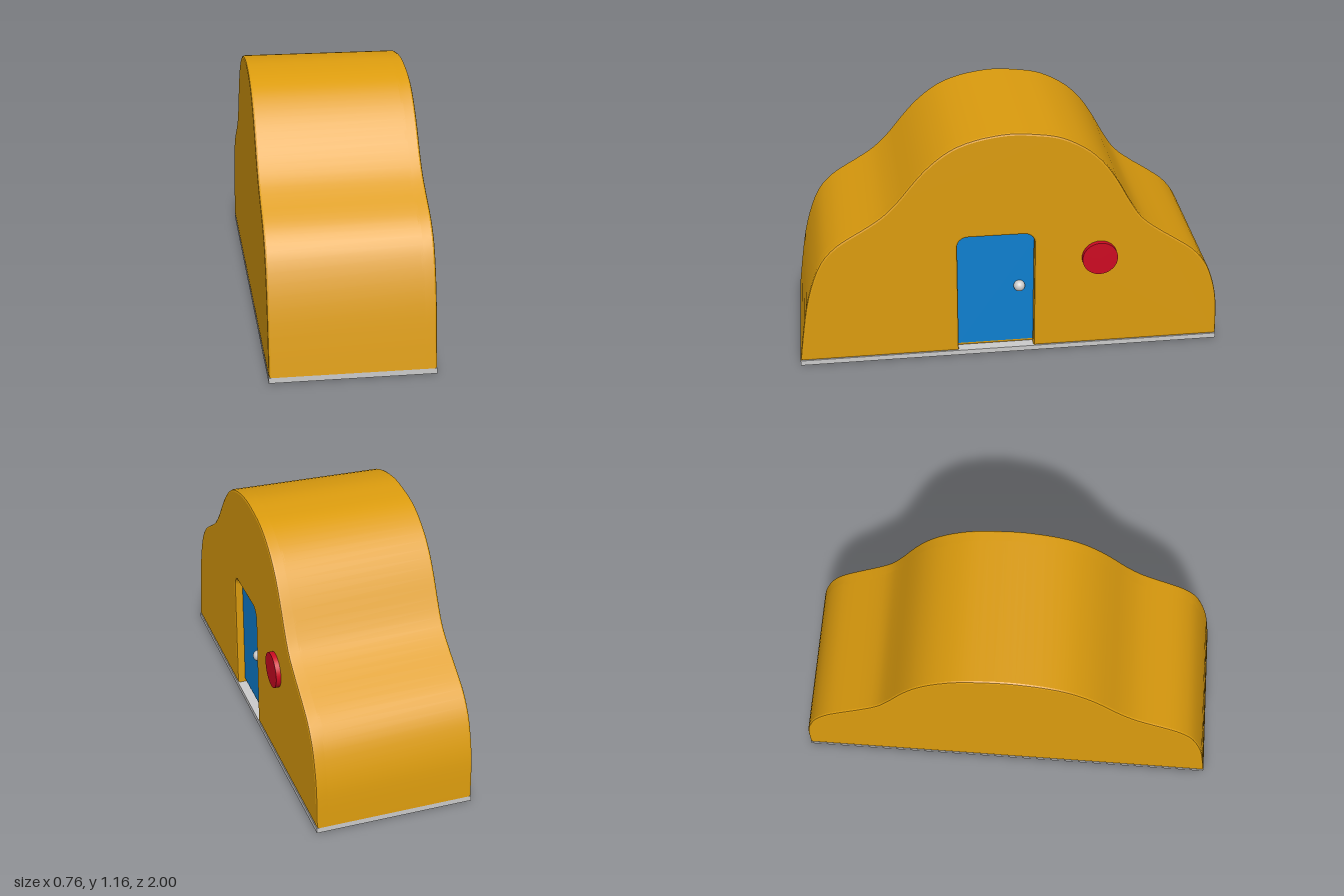
import * as THREE from 'three';
import { toCreasedNormals } from 'three/addons/utils/BufferGeometryUtils.js';

const BACK = -0.38, FRONT = 0.355, RECESS = 0.317, FLOOR = 0.025;
const DOOR = { left: -0.25, right: 0.11, top: 0.64, radius: 0.05 };

// Silhouette as [-z, y], from the front foot over the top to the back foot
const PROFILE = [
  [-1, FLOOR], [-0.98, 0.17], [-0.955, 0.32], [-0.92, 0.45], [-0.875, 0.555], [-0.815, 0.625],
  [-0.75, 0.672], [-0.67, 0.72], [-0.59, 0.775], [-0.52, 0.845], [-0.46, 0.92], [-0.4, 0.99],
  [-0.335, 1.05], [-0.26, 1.1], [-0.165, 1.135], [-0.06, 1.154], [0.02, 1.158], [0.11, 1.15],
  [0.2, 1.135], [0.28, 1.103], [0.36, 1.052], [0.43, 0.982], [0.49, 0.893], [0.55, 0.785],
  [0.608, 0.698], [0.69, 0.63], [0.79, 0.562], [0.87, 0.5], [0.93, 0.42], [0.965, 0.33],
  [0.986, 0.24], [0.995, 0.15], [1, FLOOR],
].map(([s, y]) => new THREE.Vector2(s, y));

// Rounded-top opening, traced from its right foot to its left foot
function traceDoor(path, bottom) {
  const { left, right, top, radius: r } = DOOR;
  path.lineTo(right, bottom);
  path.lineTo(right, top - r);
  path.absarc(right - r, top - r, r, 0, Math.PI / 2, false);
  path.lineTo(left + r, top);
  path.absarc(left + r, top - r, r, Math.PI / 2, Math.PI, false);
  path.lineTo(left, bottom);
}

function houseShape(withDoorway) {
  const shape = new THREE.Shape(new THREE.SplineCurve(PROFILE).getPoints(80));
  if (withDoorway) traceDoor(shape, FLOOR);
  shape.closePath();
  return shape;
}

// Extrudes a side-view shape along x between x0 and x1
function extrudeX(shape, x0, x1, bevel) {
  const geometry = new THREE.ExtrudeGeometry(shape, {
    depth: x1 - x0 - 2 * bevel, curveSegments: 8,
    bevelEnabled: bevel > 0, bevelThickness: bevel, bevelSize: bevel, bevelOffset: -bevel, bevelSegments: 2,
  });
  geometry.translate(0, 0, x0 + bevel);
  geometry.rotateY(Math.PI / 2);
  return toCreasedNormals(geometry, 0.35);
}

export function createModel() {
  const group = new THREE.Group();
  const material = (color) => new THREE.MeshStandardMaterial({ color });
  const gold = material(0xdc9c0e), blue = material(0x0e7fd0), red = material(0xcc0a22), grey = material(0xcccccc);
  const add = (name, geometry, mat, x = 0, y = 0, z = 0) => {
    const mesh = new THREE.Mesh(geometry, mat);
    mesh.name = name;
    mesh.position.set(x, y, z);
    group.add(mesh);
    return mesh;
  };

  // Solid body, with a front wall layer that leaves the doorway open
  add('body', extrudeX(houseShape(false), BACK, RECESS - 0.004, 0.01), gold);
  add('doorWall', extrudeX(houseShape(true), RECESS - 0.034, FRONT, 0.01), gold);

  // Floor plate
  add('base', new THREE.BoxGeometry(FRONT - BACK, FLOOR, 2), grey, (FRONT + BACK) / 2, FLOOR / 2, 0);

  // Recessed door and its knob
  const doorShape = new THREE.Shape();
  doorShape.moveTo(DOOR.left, 0.042);
  traceDoor(doorShape, 0.042);
  doorShape.closePath();
  add('door', extrudeX(doorShape, RECESS - 0.01, RECESS, 0), blue);
  add('doorKnob', new THREE.SphereGeometry(0.027, 24, 16), grey, RECESS + 0.01, 0.35, -0.042);

  // Round window
  const disc = new THREE.CylinderGeometry(0.083, 0.083, 0.035, 48);
  disc.rotateZ(-Math.PI / 2);
  add('roundWindow', disc, red, 0.36, 0.5, -0.415);

  return group;
}
